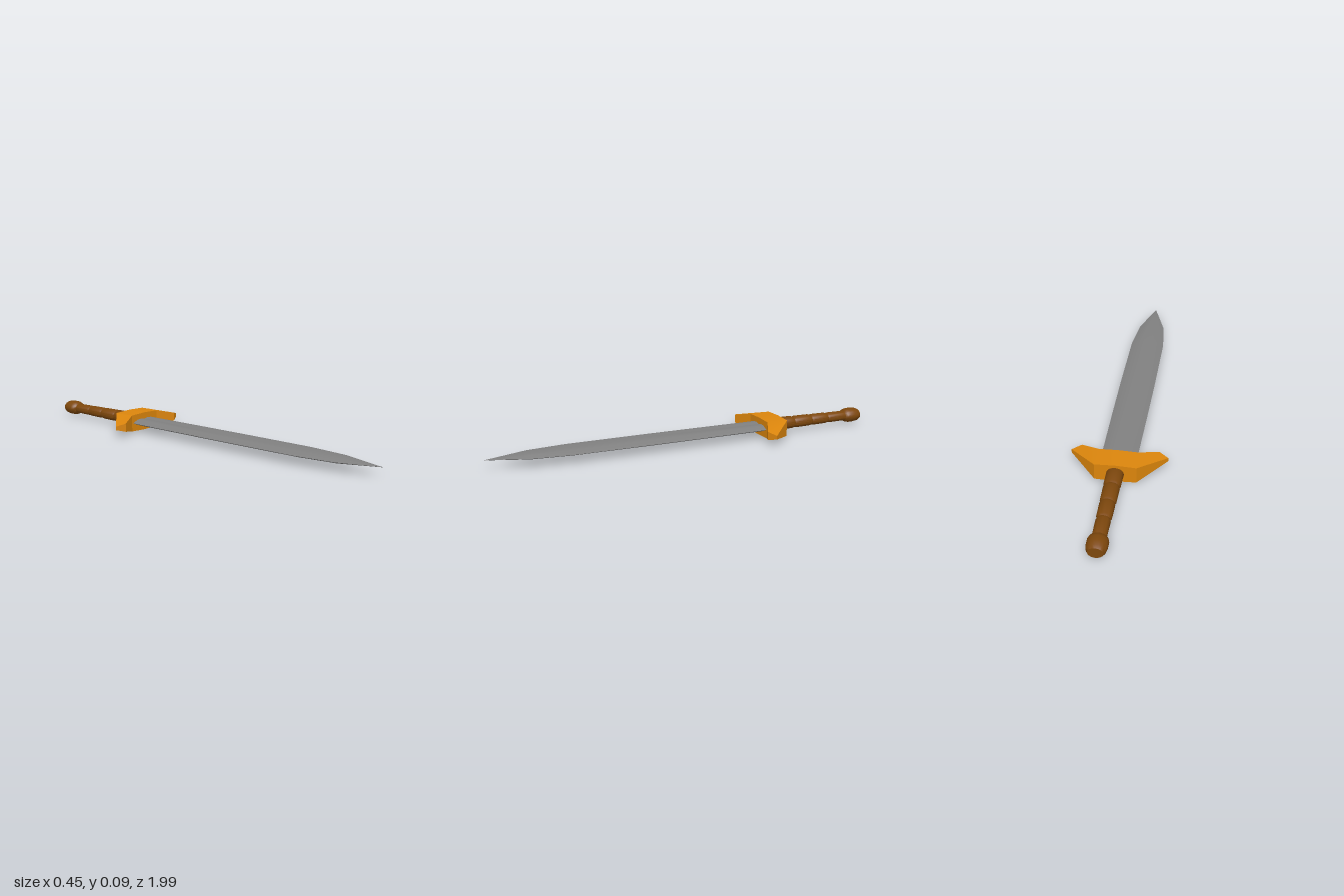
import * as THREE from 'three';
import { toCreasedNormals } from 'three/addons/utils/BufferGeometryUtils.js';

const steel = new THREE.MeshStandardMaterial({ name: 'steel', color: 0x808080 });
const gold = new THREE.MeshStandardMaterial({ name: 'gold', color: 0xdb850c });
const brown = new THREE.MeshStandardMaterial({ name: 'brownLeather', color: 0x7d470c });

const AXIS_Y = 0.045; // height of the sword's long axis

// Skin a row of equal-length rings and close both ends
function loft(rings, crease) {
  const n = rings[0].length;
  const index = [];
  for (let r = 0; r < rings.length - 1; r++) {
    for (let i = 0; i < n; i++) {
      const a = r * n + i, b = r * n + (i + 1) % n;
      index.push(a, b, b + n, a, b + n, a + n);
    }
  }
  const last = (rings.length - 1) * n;
  for (let i = 1; i < n - 1; i++) {
    index.push(0, i + 1, i, last, last + i, last + i + 1);
  }
  const geometry = new THREE.BufferGeometry();
  geometry.setAttribute('position', new THREE.Float32BufferAttribute(rings.flat(2), 3));
  geometry.setIndex(index);
  return toCreasedNormals(geometry, crease);
}

// Turned part along z, slightly flattened in y; profile is [radius, z]
function turned(name, profile) {
  const points = profile.map(([r, z]) => new THREE.Vector2(r, z));
  const geometry = new THREE.LatheGeometry(points, 20);
  geometry.rotateX(Math.PI / 2).scale(1, 0.8, 1);
  const mesh = new THREE.Mesh(toCreasedNormals(geometry, 0.7), brown);
  mesh.name = name;
  return mesh;
}

function buildBlade() {
  // z, half width, half thickness, depth of the central groove
  const sections = [
    [-0.43, 0.082, 0.016, 0.3],
    [-0.08, 0.086, 0.016, 0.3],
    [0.2, 0.088, 0.016, 0],
    [0.6, 0.087, 0.015, 0],
    [0.79, 0.066, 0.012, 0],
    [0.99, 0.0005, 0.0005, 0],
  ];
  const rings = sections.map(([z, w, h, groove]) => {
    const upper = [[1, 0], [0.6, 0.88], [0.27, 1], [0, 1 - groove], [-0.27, 1], [-0.6, 0.88]];
    const outline = [...upper, ...upper.map(([x, y]) => [-x, -y])];
    return outline.map(([x, y]) => [x * w, y * h, z]);
  });
  const mesh = new THREE.Mesh(loft(rings, 0.5), steel);
  mesh.name = 'blade';
  return mesh;
}

function buildGuard() {
  // back x, back z, back half height, front x, front z, front half height
  const half = [
    [0, -0.51, 0.045, 0, -0.4, 0.045],
    [0.095, -0.51, 0.041, 0.09, -0.4, 0.042],
    [0.223, -0.38, 0.009, 0.179, -0.355, 0.021],
  ];
  const mirrored = half.slice(1).reverse().map(([bx, bz, bh, fx, fz, fh]) => [-bx, bz, bh, -fx, fz, fh]);
  const rings = [...mirrored, ...half].map(([bx, bz, bh, fx, fz, fh]) => [
    [bx, bh, bz], [fx, fh, fz], [fx, -fh, fz], [bx, -bh, bz],
  ]);
  const mesh = new THREE.Mesh(loft(rings, 0.2), gold);
  mesh.name = 'crossGuard';
  return mesh;
}

export function createModel() {
  const sword = new THREE.Group();
  sword.name = 'sword';
  sword.add(buildBlade(), buildGuard());

  // Grip wraps, each a little slimmer toward the pommel
  const grip = new THREE.Group();
  grip.name = 'grip';
  const joints = [-0.5, -0.6, -0.705, -0.805, -0.93];
  for (let i = 0; i < 4; i++) {
    const front = joints[i], back = joints[i + 1];
    const r = 0.04 - i * 0.0025;
    grip.add(turned('gripWrap', [
      [0, back], [r - 0.006, back], [r - 0.001, back + 0.012],
      [r, front - 0.012], [r - 0.005, front], [0, front],
    ]));
  }
  sword.add(grip);

  // Rounded pommel
  sword.add(turned('pommel', [
    [0, -1], [0.033, -1], [0.042, -0.985], [0.046, -0.96],
    [0.046, -0.935], [0.041, -0.918], [0.03, -0.908], [0, -0.908],
  ]));

  sword.position.y = AXIS_Y;
  const model = new THREE.Group();
  model.name = 'swordModel';
  model.add(sword);
  return model;
}
